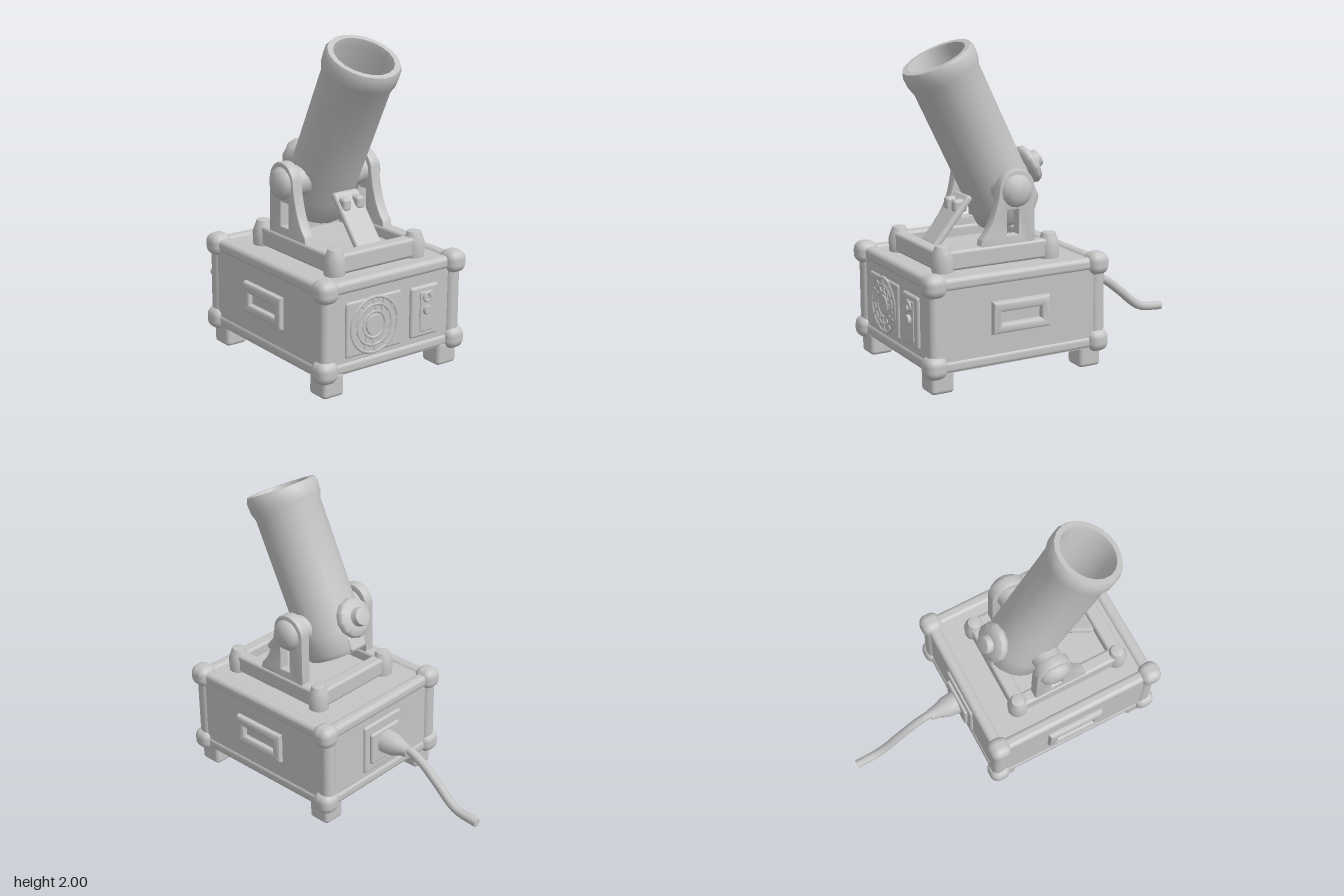
import * as THREE from 'three';
import { toCreasedNormals } from 'three/addons/utils/BufferGeometryUtils.js';
import { RoundedBoxGeometry } from 'three/addons/geometries/RoundedBoxGeometry.js';

const grey = new THREE.MeshStandardMaterial({ color: 0xc4c4c4 });
grey.name = 'light grey';

export function createModel() {
  const model = new THREE.Group();
  model.name = 'mortarOnBox';

  const add = (name, geometry, x = 0, y = 0, z = 0, parent = model) => {
    const mesh = new THREE.Mesh(geometry, grey);
    mesh.name = name;
    mesh.position.set(x, y, z);
    parent.add(mesh);
    return mesh;
  };
  const rbox = (w, h, d, r = 0.02) => new RoundedBoxGeometry(w, h, d, 3, r);
  const lathe = (pts, sides = 16) => toCreasedNormals(
    new THREE.LatheGeometry(pts.map(p => new THREE.Vector2(...p)), sides), 0.9);
  // Extrude an outline drawn in (z, y), centred on x = 0
  const extrudeSide = (shape, depth, bevel, bevelDepth) => {
    const g = new THREE.ExtrudeGeometry(shape, {
      depth, bevelEnabled: true, bevelSize: bevel, bevelThickness: bevelDepth, bevelSegments: 2, curveSegments: 10 });
    g.translate(0, 0, -depth / 2);
    g.rotateY(-Math.PI / 2);
    return toCreasedNormals(g, 0.6);
  };
  const rectPath = (path, x0, y0, x1, y1) => {
    path.moveTo(x0, y0); path.lineTo(x1, y0); path.lineTo(x1, y1); path.lineTo(x0, y1); path.closePath();
    return path;
  };

  // Box body with framed edges, corner knobs and feet
  const midZ = 0.365;
  add('boxBody', new THREE.BoxGeometry(1.02, 0.55, 1.15), 0, 0.4, midZ);
  for (const y of [0.16, 0.65]) {
    for (const z of [-0.18, 0.91]) add('crossEdge', rbox(0.96, 0.08, 0.08, 0.03), 0, y, z);
    for (const s of [-1, 1]) add('sideEdge', rbox(0.08, 0.08, 1.1, 0.03), s * 0.478, y, midZ);
  }
  for (const s of [-1, 1]) for (const z of [-0.18, 0.91]) {
    add('cornerPost', rbox(0.1, 0.5, 0.1, 0.04), s * 0.47, 0.4, z);
    for (const y of [0.165, 0.65]) add('cornerKnob', rbox(0.14, 0.14, 0.14, 0.055), s * 0.48, y, z > 0 ? 0.92 : z);
    add('foot', rbox(0.15, 0.15, 0.15, 0.025), s * 0.43, 0.075, z > 0 ? 0.875 : -0.13);
  }

  // Front fan panel
  add('fanPanel', rbox(0.41, 0.34, 0.03, 0.014), -0.145, 0.39, 0.938);
  const fan = new THREE.Group();
  fan.name = 'fan';
  fan.position.set(-0.145, 0.39, 0.95);
  model.add(fan);
  for (const r of [0.08, 0.125, 0.17]) add('fanRing', new THREE.TorusGeometry(r, 0.011, 6, 24), 0, 0, 0, fan);
  for (let i = 0; i < 12; i++) {
    const a = i * Math.PI / 6;
    const blade = add('fanBlade', new THREE.BoxGeometry(0.09, 0.016, 0.016), Math.cos(a) * 0.125, Math.sin(a) * 0.125, 0, fan);
    blade.rotation.z = a + 0.3;
  }
  const hub = add('fanHub', new THREE.CylinderGeometry(0.06, 0.07, 0.02, 16), 0, 0, 0, fan);
  hub.rotation.x = Math.PI / 2;

  // Front control panel
  add('controlPanel', rbox(0.21, 0.32, 0.04, 0.018), 0.235, 0.39, 0.938);
  add('controlPlate', rbox(0.1, 0.25, 0.02, 0.008), 0.245, 0.39, 0.955);
  add('dial', new THREE.TorusGeometry(0.025, 0.01, 6, 14), 0.245, 0.48, 0.967);
  const button = add('controlButton', new THREE.CylinderGeometry(0.028, 0.033, 0.025, 10), 0.245, 0.4, 0.972);
  button.rotation.x = Math.PI / 2;

  // Softly raised side surrounds with a slot
  const surround = rectPath(new THREE.Shape(), 0.19, 0.335, 0.54, 0.495);
  surround.holes.push(rectPath(new THREE.Path(), 0.215, 0.36, 0.515, 0.465));
  for (const s of [-1, 1]) add('sideSlotSurround', extrudeSide(surround, 0.006, 0.02, 0.03), s * 0.511, 0, 0);

  // Cradle base: rails around a low plate, with bolts on the corners
  add('cradlePlate', rbox(0.58, 0.06, 0.78), 0, 0.7, 0.41);
  for (const z of [0.055, 0.77]) add('cradleCrossRail', rbox(0.56, 0.12, 0.09), 0, 0.74, z);
  for (const s of [-1, 1]) {
    add('cradleSideRail', rbox(0.09, 0.12, 0.74), s * 0.295, 0.74, 0.41);
    for (const z of [0.05, 0.77]) add('cradleBolt', lathe([[0.065, 0], [0.068, 0.08], [0.055, 0.12], [0.042, 0.155], [0, 0.165]], 12), s * 0.298, 0.675, z);
  }

  // Trunnion brackets with a window, and their bosses
  const bracket = new THREE.Shape();
  bracket.moveTo(0.17, 0.74);
  bracket.lineTo(0.53, 0.74);
  bracket.lineTo(0.51, 0.83);
  bracket.quadraticCurveTo(0.42, 0.92, 0.39, 1.13);
  bracket.absarc(0.28, 1.125, 0.11, 0.05, Math.PI, false);
  bracket.closePath();
  bracket.holes.push(rectPath(new THREE.Path(), 0.265, 0.84, 0.36, 1.01));
  for (const s of [-1, 1]) {
    add('trunnionBracket', extrudeSide(bracket, 0.05, 0.01, 0.01), s * 0.295, 0, 0);
    const boss = add('trunnionBoss', lathe([[0, 0], [0.1, 0], [0.09, 0.06], [0.09, 0.12], [0.105, 0.15], [0.09, 0.185], [0.055, 0.205], [0, 0.21]], 16), s * 0.17, 1.115, 0.285);
    boss.rotation.z = -s * Math.PI / 2;
  }

  // Tilted barrel, origin at the mouth
  const barrel = new THREE.Group();
  barrel.name = 'barrelGroup';
  barrel.position.set(0, 1.9, 0.645);
  barrel.rotation.x = 0.455;
  model.add(barrel);
  add('barrel', lathe([[0, -1.11], [0.185, -1.11], [0.208, -1.08], [0.213, -0.95], [0.212, -0.7], [0.214, -0.15],
    [0.23, -0.1], [0.233, -0.03], [0.22, 0], [0.185, 0], [0.175, -0.04], [0.165, -0.8], [0, -0.8]], 20), 0, 0, 0, barrel);
  const knob = add('breechKnob', lathe([[0, 0], [0.07, 0], [0.075, 0.04], [0.115, 0.05], [0.13, 0.075], [0.122, 0.105],
    [0.085, 0.122], [0.062, 0.125], [0.056, 0.165], [0, 0.175]], 12), 0, -0.9, -0.165, barrel);
  knob.rotation.x = -Math.PI / 2;
  add('breechBlock', rbox(0.14, 0.1, 0.06), 0, -1.055, -0.18, barrel);

  // Elevation strut in front of the barrel
  const strut = add('elevationStrut', rbox(0.19, 0.38, 0.045), 0, 0.91, 0.59);
  strut.rotation.x = -0.7;
  for (const s of [-1, 1]) add('strutClip', rbox(0.06, 0.08, 0.09), s * 0.05, 1.0, 0.53);

  // Rear cable with its plug
  add('rearPanel', rbox(0.34, 0.34, 0.03, 0.014), 0, 0.4, -0.213);
  add('plugPlate', rbox(0.26, 0.22, 0.03, 0.014), 0, 0.4, -0.235);
  const plug = add('cablePlug', lathe([[0, 0], [0.08, 0], [0.072, 0.09], [0.05, 0.14], [0.038, 0.2], [0, 0.21]], 12), 0, 0.415, -0.24);
  plug.rotation.x = -Math.PI / 2;
  const path = new THREE.CatmullRomCurve3([[0.42, -0.36], [0.425, -0.45], [0.375, -0.56], [0.29, -0.67], [0.165, -0.83], [0.14, -1]]
    .map(([y, z]) => new THREE.Vector3(0, y, z)));
  add('cable', new THREE.TubeGeometry(path, 20, 0.029, 8), 0, 0, 0);
  const end = add('cableEnd', new THREE.CircleGeometry(0.029, 8), 0, 0.14, -0.998);
  end.rotation.y = Math.PI;

  return model;
}
